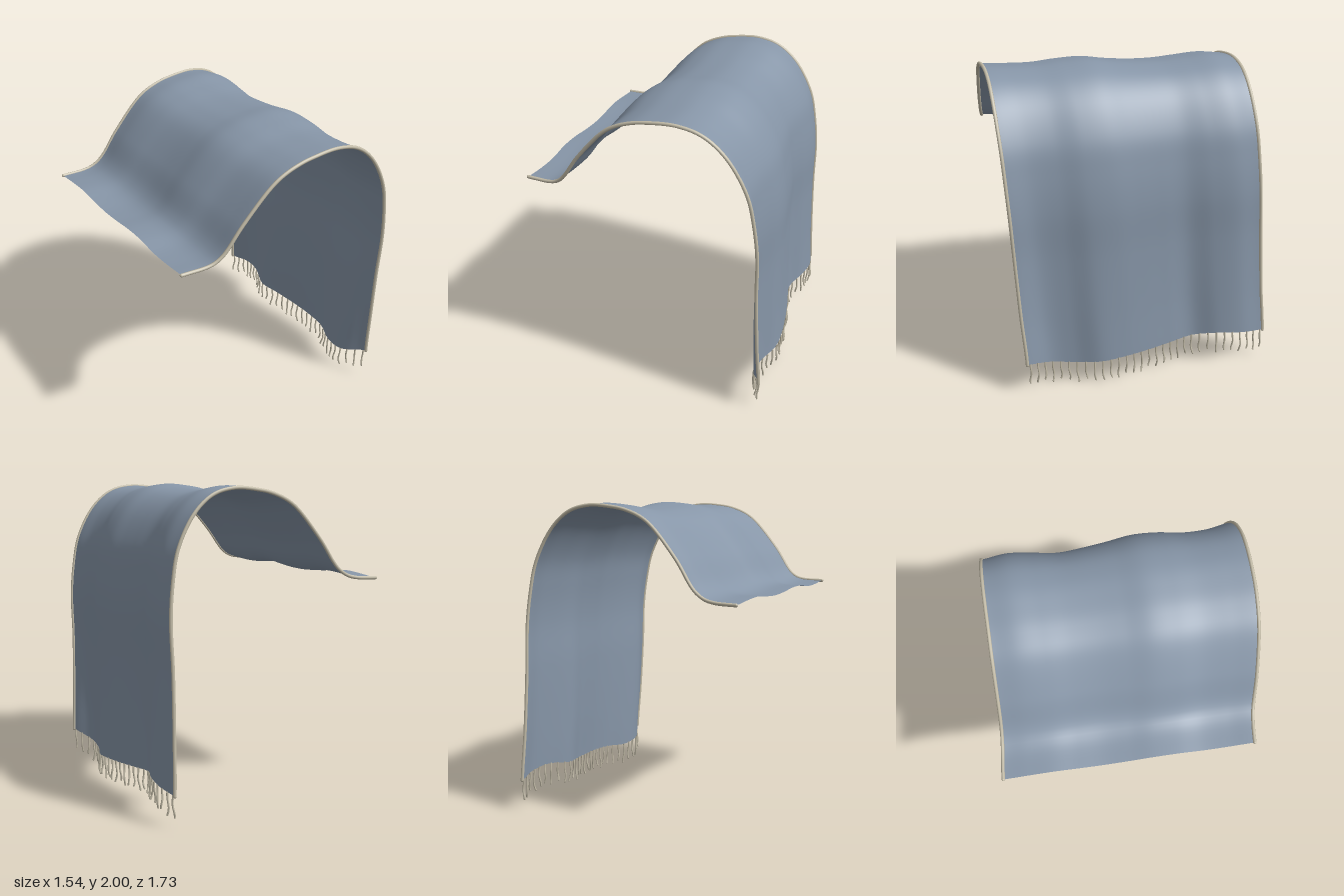
import * as THREE from 'three';

// Smooth function over t in 0..1 through evenly spaced values
function smooth(values) {
  const curve = new THREE.SplineCurve(values.map((d, i) => new THREE.Vector2(i, d)));
  return (t) => curve.getPoint(t).y;
}

// Drape path from the raised end, over the crest and down the hanging side
const path = new THREE.SplineCurve([
  [-0.77, 1.42], [-0.6, 1.43], [-0.5, 1.49], [-0.38, 1.66], [-0.2, 1.86], [-0.05, 1.94],
  [0.1, 1.97], [0.25, 1.975], [0.4, 1.93], [0.53, 1.81], [0.63, 1.62], [0.67, 1.43],
  [0.69, 1.2], [0.685, 0.9], [0.69, 0.5], [0.7, 0.2],
].map(([x, y]) => new THREE.Vector2(x, y)));
path.arcLengthDivisions = 600;

// Ripples across the width (back to front) at three stations
const rippleEnd = smooth([-0.025, -0.01, 0, -0.01, -0.015, -0.005, 0.012, 0.015, 0, 0.005, 0.02]);
const rippleCrest = smooth([-0.015, 0, -0.015, -0.025, -0.02, -0.005, 0.018, 0.012, 0, 0.003, 0.01]);
const rippleFoot = smooth([0, 0.03, 0.01, -0.045, -0.015, 0.015, 0.035, 0.035, -0.02, -0.03, 0.05]);
const footHeight = smooth([0.195, 0.215, 0.225, 0.205, 0.193, 0.18, 0.168, 0.155, 0.145, 0.17, 0.22]);
const sway = smooth([-0.005, 0.03, 0.05, 0.062, 0.06, 0.052, 0.035, 0.015, -0.005, -0.025, -0.05]);
const CREST = 0.38;

// Point on the cloth: u runs along the path, w from back (0) to front (1)
function clothPoint(u, w) {
  const p = path.getPointAt(u);
  const t = path.getTangentAt(u);
  const d = u < CREST
    ? THREE.MathUtils.lerp(rippleEnd(w), rippleCrest(w), u / CREST)
    : THREE.MathUtils.lerp(rippleCrest(w), rippleFoot(w), (u - CREST) / (1 - CREST));
  const drop = (footHeight(w) - 0.2) * THREE.MathUtils.smoothstep(u, 0.6, 1);
  const half = 0.785 + 0.015 * Math.min(1, u * 3) + 0.01 * u * u;
  return new THREE.Vector3(p.x - t.y * d, p.y + t.x * d + drop, sway(u) + (w * 2 - 1) * (half - 0.006));
}

export function createModel() {
  const cloth = new THREE.MeshStandardMaterial({ color: 0x8796a8, side: THREE.DoubleSide });
  cloth.name = 'blue grey cloth';
  const trim = new THREE.MeshStandardMaterial({ color: 0xc4bda9 });
  trim.name = 'cream trim';

  const model = new THREE.Group();
  model.name = 'drapedThrow';
  const add = (name, geometry, material, parent = model) => {
    const mesh = new THREE.Mesh(geometry, material);
    mesh.name = name;
    parent.add(mesh);
  };

  // Cloth sheet
  const sheet = new THREE.PlaneGeometry(1, 1, 110, 70);
  const pos = sheet.attributes.position;
  for (let i = 0; i < pos.count; i++) {
    const p = clothPoint(THREE.MathUtils.clamp(pos.getX(i) + 0.5, 0, 1), 0.5 - pos.getY(i));
    pos.setXYZ(i, p.x, p.y, p.z);
  }
  sheet.computeVertexNormals();
  add('clothSheet', sheet, cloth);

  // Rolled hems along both side edges, with closed ends
  for (const [name, w] of [['backHem', 0], ['frontHem', 1]]) {
    const points = Array.from({ length: 49 }, (_, i) => clothPoint(i / 48, w));
    add(name, new THREE.TubeGeometry(new THREE.CatmullRomCurve3(points), 140, 0.011, 8), trim);
    for (const [end, p] of [['Start', points[0]], ['Tip', points[48]]]) {
      add(name + end, new THREE.SphereGeometry(0.011, 8, 6).translate(p.x, p.y, p.z), trim);
    }
  }

  // Wavy fringe strands along the hanging edge
  const fringe = new THREE.Group();
  fringe.name = 'fringe';
  model.add(fringe);
  const count = 31;
  for (let i = 0; i < count; i++) {
    const top = clothPoint(1, 0.012 + 0.976 * i / (count - 1));
    const length = 0.138 + 0.012 * Math.sin(i * 2.4);
    const points = [];
    for (let k = 0; k <= 6; k++) {
      const s = k / 6;
      const wave = 0.007 * Math.sin(s * 6 + i * 0.5) * s;
      points.push(new THREE.Vector3(
        top.x + 0.008 * Math.sin(s * 5 + i * 1.7) * s,
        top.y + 0.005 - length * s,
        top.z + wave - 0.004 * s));
    }
    add('fringeStrand', new THREE.TubeGeometry(new THREE.CatmullRomCurve3(points), 12, 0.006, 6), trim, fringe);
    const tip = points[6];
    add('fringeTip', new THREE.SphereGeometry(0.006, 6, 4).translate(tip.x, tip.y, tip.z), trim, fringe);
  }
  return model;
}
